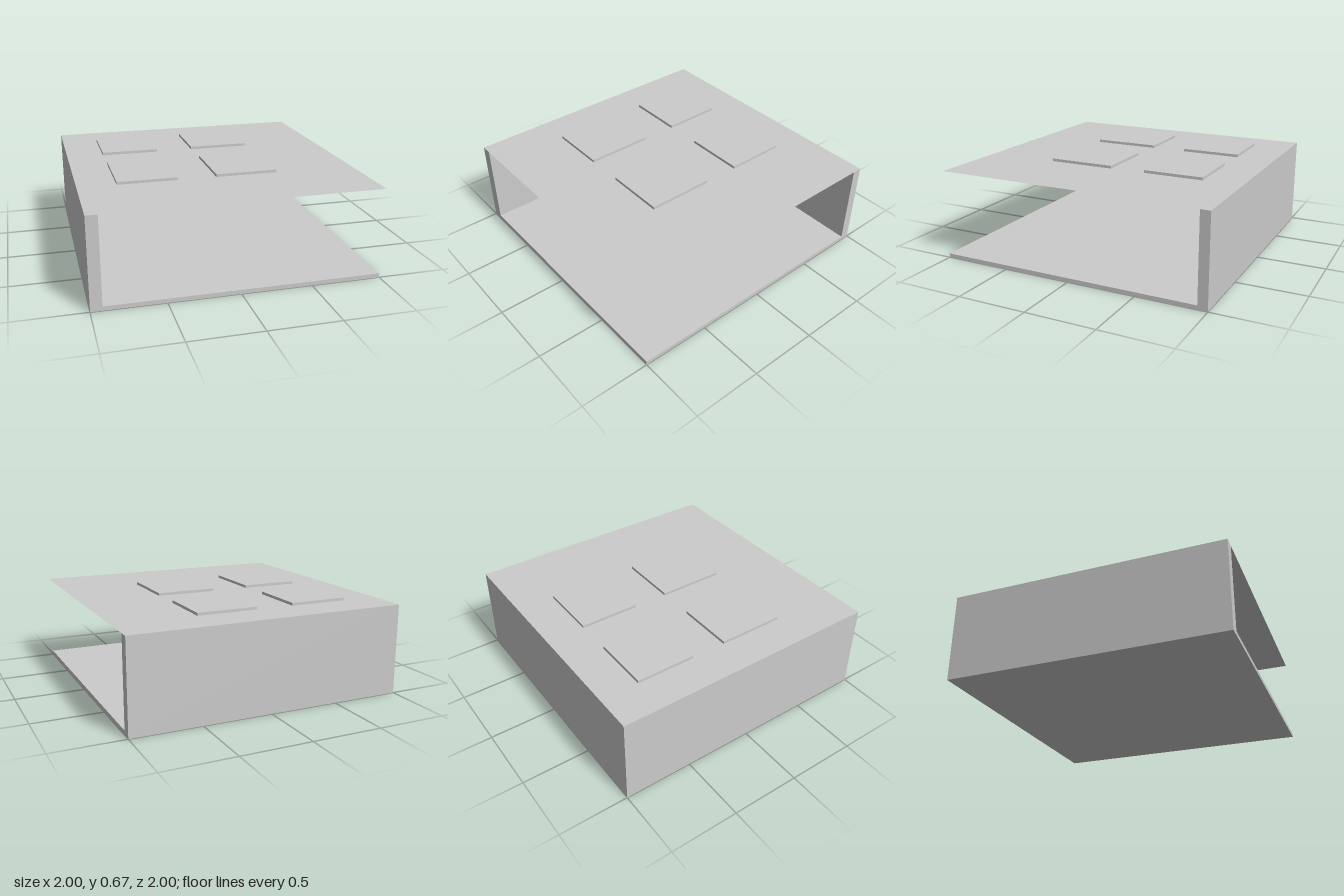
import * as THREE from 'three';

const grey = new THREE.MeshStandardMaterial({ color: 0xcccccc, flatShading: true });
const thin = new THREE.MeshStandardMaterial({ color: 0xcccccc, side: THREE.DoubleSide });

const H = 0.65, FLOOR = 0.03, SKIN = 0.01;

function mesh(name, geometry, material = grey) {
  const m = new THREE.Mesh(geometry, material);
  m.name = name;
  return m;
}

// Box given by its minimum and maximum corners
function box(name, [x0, y0, z0], [x1, y1, z1]) {
  const m = mesh(name, new THREE.BoxGeometry(x1 - x0, y1 - y0, z1 - z0));
  m.position.set((x0 + x1) / 2, (y0 + y1) / 2, (z0 + z1) / 2);
  return m;
}

// Upright plate with rectangular openings, from z0 to z1; rects are [u0, v0, u1, v1]
function plate(name, outer, holes, z0, z1) {
  const trace = (path, [u0, v0, u1, v1]) =>
    path.moveTo(u0, v0).lineTo(u1, v0).lineTo(u1, v1).lineTo(u0, v1).closePath();
  const shape = trace(new THREE.Shape(), outer);
  shape.holes = holes.map((r) => trace(new THREE.Path(), r));
  const geo = new THREE.ExtrudeGeometry(shape, { depth: z1 - z0, bevelEnabled: false });
  return mesh(name, geo.translate(0, 0, z0));
}

// Wall with framed niches, its outer face at z = -1 and its inner face at z = inner
function nicheWall(name, u0, inner, frames) {
  const wall = new THREE.Group();
  wall.name = name;
  const openings = frames.map((f) => [f.inner[0], 0.125, f.inner[1], 0.52]);
  wall.add(plate(name + 'Body', [u0, 0, 1, H], openings, -1 + SKIN, inner));
  wall.add(box(name + 'Skin', [u0, 0, -1], [1, H, -1 + SKIN]));
  frames.forEach((f, i) => {
    const outer = [f.outer[0], FLOOR, f.outer[1], 0.56];
    wall.add(plate(name + 'NicheFrame', outer, [openings[i]], inner, -0.91));
  });
  return wall;
}

export function createModel() {
  const room = new THREE.Group();
  room.name = 'room';

  const xFrames = [
    { outer: [-0.73, -0.305], inner: [-0.68, -0.355] },
    { outer: [-0.03, 0.415], inner: [0.015, 0.365] },
  ];
  // Along the left-hand wall, measured towards the back
  const zFrames = [
    { outer: [-0.465, 0.025], inner: [-0.41, -0.03] },
    { outer: [0.285, 0.72], inner: [0.335, 0.67] },
  ];

  // Floor slab
  room.add(box('floor', [-0.92, 0, -0.93], [1, FLOOR, 1]));

  // Two closed sides; the front and the other side stay open
  room.add(nicheWall('backWall', -0.92, -0.93, xFrames));
  const side = nicheWall('sideWall', -1, -0.92, zFrames);
  side.rotation.y = Math.PI / 2;
  room.add(side);

  // Thin ceiling sheet
  const ceiling = mesh('ceiling', new THREE.PlaneGeometry(2, 2), thin);
  ceiling.rotation.x = -Math.PI / 2;
  ceiling.position.y = H;
  room.add(ceiling);

  // Raised roof panels in line with the niches
  for (const a of xFrames) {
    for (const b of zFrames) {
      room.add(box('roofPanel', [a.outer[0], H, -b.outer[1]], [a.outer[1], 0.67, -b.outer[0]]));
    }
  }
  return room;
}
